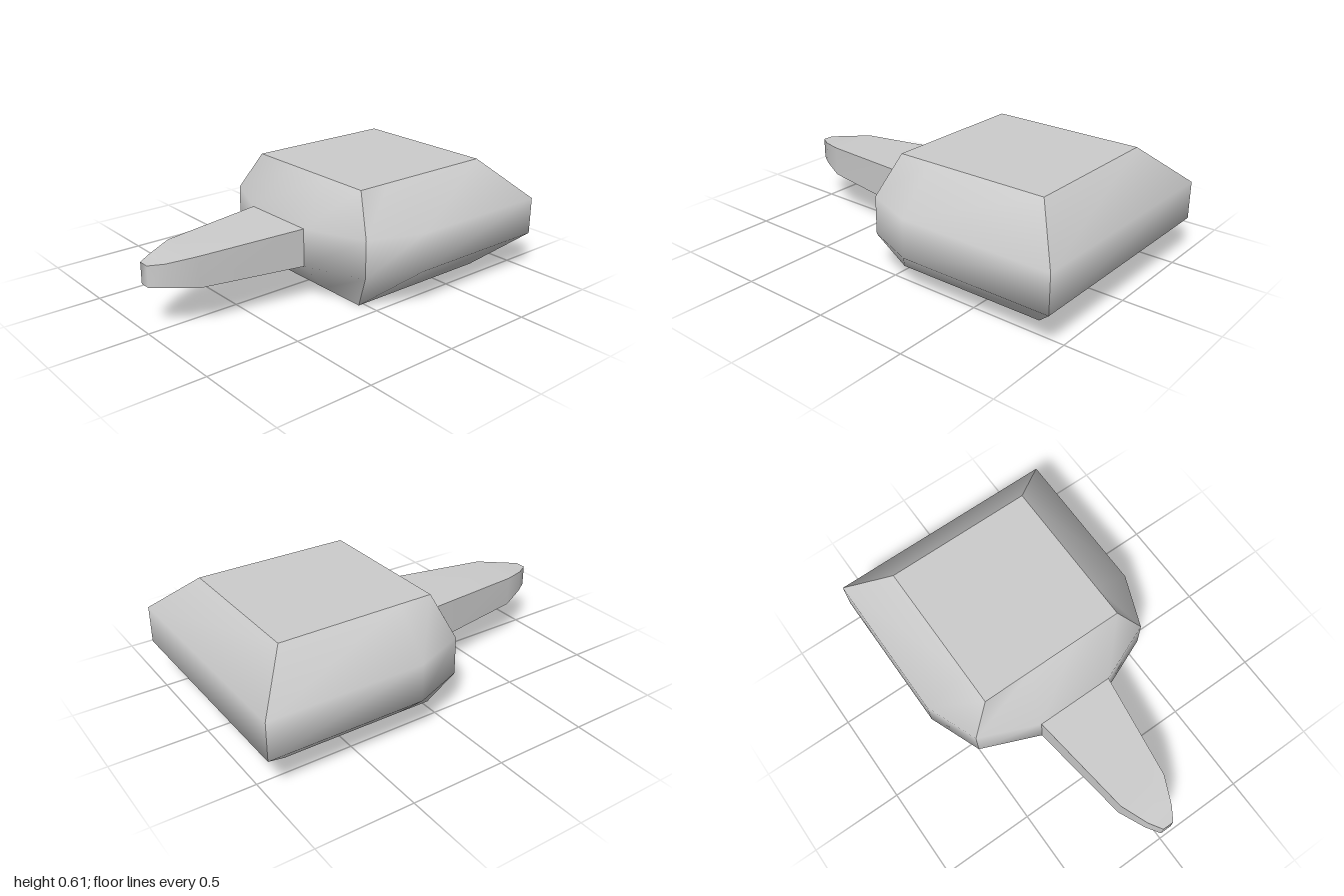
import * as THREE from 'three';
import { mergeGeometries } from 'three/addons/utils/BufferGeometryUtils.js';

// Smooth-shaded surface through rows of points (columns run right, rows run up, seen from outside)
function patch(rows) {
  const n = rows[0].length, index = [];
  for (let r = 0; r < rows.length - 1; r++) {
    for (let c = 0; c < n - 1; c++) {
      const a = r * n + c, b = a + 1, d = a + n, e = d + 1;
      index.push(a, b, e, a, e, d);
    }
  }
  const g = new THREE.BufferGeometry();
  g.setAttribute('position', new THREE.Float32BufferAttribute(rows.flat(2), 3));
  g.setIndex(index);
  g.computeVertexNormals();
  return g;
}

const mirrorX = (line) => line.map(([x, z]) => [-x, z]).reverse();
const atHeight = (line, y) => line.map(([x, z]) => [x, y, z]);

// Body: a belt outline bevelled into smaller flat caps, with hard corners between walls
function bodyGeometry() {
  const leftWall = {
    belt: [[0.52, 0.1], [0.63, -0.18], [0.63, -1]],
    cap: [[0.4, 0.03], [0.4, -0.15], [0.4, -0.8]],
  };
  const walls = [
    {
      belt: [[-0.52, 0.1], [-0.21, 0.23], [0.21, 0.23], [0.52, 0.1]],
      cap: [[-0.4, 0.03], [-0.13, 0.03], [0.13, 0.03], [0.4, 0.03]],
    },
    leftWall,
    { belt: [[0.63, -1], [-0.63, -1]], cap: [[0.4, -0.8], [-0.4, -0.8]] },
    { belt: mirrorX(leftWall.belt), cap: mirrorX(leftWall.cap) },
  ];
  const parts = walls.map(({ belt, cap }) => patch([
    atHeight(cap, 0), atHeight(belt, 0.205), atHeight(belt, 0.405), atHeight(cap, 0.61),
  ]));
  const front = [[-0.4, 0.03], [0.4, 0.03]], back = [[-0.4, -0.8], [0.4, -0.8]];
  parts.push(patch([atHeight(front, 0.61), atHeight(back, 0.61)]));
  parts.push(patch([atHeight(back, 0), atHeight(front, 0)]));
  return mergeGeometries(parts);
}

// Tongue: tapering blade with a rounded tip
function tongueGeometry() {
  // z, half width, half height
  const sections = [
    [0.23, 0.21, 0.1], [0.79, 0.135, 0.08], [0.93, 0.075, 0.06], [1, 0.03, 0.055],
  ];
  const mid = 0.305;
  const edge = (side) => sections.map(([z, w, h]) => [-w, mid + side * h, z])
    .concat(sections.map(([z, w, h]) => [w, mid + side * h, z]).reverse());
  const face = (side) => sections.map(([z, w, h]) => [
    [-w, mid + side * h, z], [w, mid + side * h, z],
  ]);
  return mergeGeometries([
    patch([edge(-1), edge(1)]),
    patch(face(1).reverse()),
    patch(face(-1)),
  ]);
}

export function createModel() {
  const model = new THREE.Group();
  const material = new THREE.MeshStandardMaterial({ color: 0xcccccc });
  const add = (name, geometry) => {
    const mesh = new THREE.Mesh(geometry, material);
    mesh.name = name;
    model.add(mesh);
  };
  add('body', bodyGeometry());
  add('tongue', tongueGeometry());
  return model;
}
